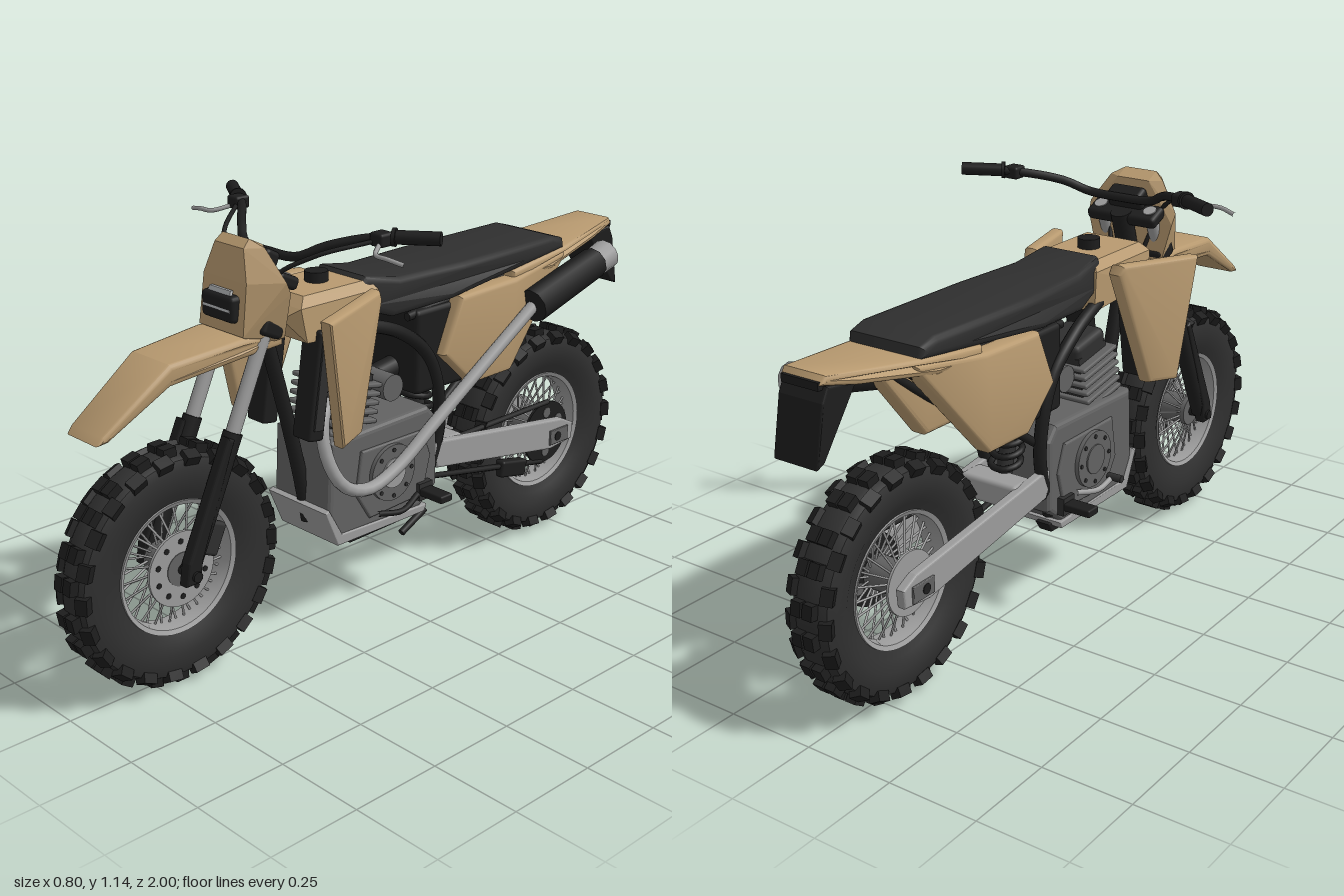
import * as THREE from 'three';
import { mergeGeometries, toCreasedNormals } from 'three/addons/utils/BufferGeometryUtils.js';
import { RoundedBoxGeometry } from 'three/addons/geometries/RoundedBoxGeometry.js';
import { ConvexGeometry } from 'three/addons/geometries/ConvexGeometry.js';

const mat = (name, color) => Object.assign(new THREE.MeshStandardMaterial({ color }), { name });
const V = (a) => new THREE.Vector3(...a);

// Side outline of [z, y] points, extruded across x around the given centre
function prism(pts, x, width, bevel = 0.01) {
  const shape = new THREE.Shape(pts.map(([z, y]) => new THREE.Vector2(-z, y)));
  const depth = width - 2 * bevel;
  return new THREE.ExtrudeGeometry(shape, {
    depth, bevelEnabled: bevel > 0, bevelSize: bevel, bevelThickness: bevel, bevelOffset: -bevel, bevelSegments: 3,
  }).translate(0, 0, -depth / 2).rotateY(Math.PI / 2).translate(x, 0, 0);
}
// Move every vertex by a rule, then rebuild the normals
function warp(geo, rule) {
  const p = geo.attributes.position, v = new THREE.Vector3();
  for (let i = 0; i < p.count; i++) {
    rule(v.fromBufferAttribute(p, i));
    p.setXYZ(i, v.x, v.y, v.z);
  }
  return toCreasedNormals(geo, 0.6);
}
function rod(a, b, r, r2 = r, sides = 16) {
  const d = V(b).sub(V(a));
  const geo = new THREE.CylinderGeometry(r2, r, d.length(), sides);
  geo.applyQuaternion(new THREE.Quaternion().setFromUnitVectors(V([0, 1, 0]), d.clone().normalize()));
  return geo.translate(...V(a).addScaledVector(d, 0.5).toArray());
}
const disc = (x, y, z, r, w, sides = 32) => rod([x - w / 2, y, z], [x + w / 2, y, z], r, r, sides);
const box = (w, h, d, x, y, z, tilt = 0) => new THREE.BoxGeometry(w, h, d).rotateX(tilt).translate(x, y, z);
const soft = (w, h, d, r, x, y, z, tilt = 0) => new RoundedBoxGeometry(w, h, d, 2, r).rotateX(tilt).translate(x, y, z);
const tube = (pts, r) => new THREE.TubeGeometry(new THREE.CatmullRomCurve3(pts.map(V)), 40, r, 10);
const lathe = (pts) => toCreasedNormals(
  new THREE.LatheGeometry(pts.map(([r, y]) => new THREE.Vector2(r, y)), 64).rotateZ(Math.PI / 2), 0.6);
const hull = (pts) => new ConvexGeometry(pts.flatMap(([x, y, z]) => [V([x, y, z]), V([-x, y, z])]));

export function createModel() {
  const model = new THREE.Group();
  model.name = 'dirtBike';
  const tan = mat('tan', 0xb89a70), black = mat('black', 0x1d1d1d), charcoal = mat('charcoal', 0x2f2f2f);
  const gray = mat('engineGray', 0x626262), silver = mat('silver', 0x9c9c9c), lens = mat('lens', 0xb4b6b8);
  const add = (name, geo, material, parent = model) => {
    const mesh = new THREE.Mesh(geo, material);
    mesh.name = name;
    parent.add(mesh);
    return mesh;
  };
  const sides = [1, -1];

  // Wheels: tyre, rim, knobs, spokes and hub
  function wheel(name, z, half) {
    const g = new THREE.Group();
    g.name = name;
    g.position.set(0, 0.323, z);
    model.add(g);
    add('tyre', lathe([[0.175, -0.035], [0.2, -0.046], [0.23, half * -0.95], [0.265, half * -0.95], [0.288, half * -0.82],
      [0.301, half * -0.4], [0.301, half * 0.4], [0.288, half * 0.82], [0.265, half * 0.95], [0.23, half * 0.95], [0.2, 0.046], [0.175, 0.035]]), charcoal, g);
    add('rim', lathe([[0.166, -0.036], [0.178, -0.042], [0.18, 0], [0.178, 0.042], [0.166, 0.036], [0.16, 0], [0.166, -0.036]]), silver, g);
    const knobs = [], spokes = [], n = 22;
    for (let i = 0; i < n; i++) {
      const a = (i / n) * Math.PI * 2, b = a + Math.PI / n;
      for (const s of sides) {
        knobs.push(box(0.03, 0.026, 0.038, s * 0.018, 0.306, 0).rotateX(i % 2 ? a : a + 0.03));
        knobs.push(new THREE.BoxGeometry(0.032, 0.026, 0.042).rotateZ(s * -0.5).translate(s * (half - 0.012), 0.29, 0).rotateX(b));
        const c = b + s * 0.07;
        spokes.push(rod([s * 0.035, 0.045 * Math.cos(a), 0.045 * Math.sin(a)], [0, 0.168 * Math.cos(c), 0.168 * Math.sin(c)], 0.0032, 0.0032, 5));
      }
    }
    add('treadKnobs', mergeGeometries(knobs), black, g);
    add('spokes', mergeGeometries(spokes), silver, g);
    add('hub', disc(0, 0, 0, 0.045, 0.1), gray, g);
    add('axle', disc(0, 0, 0, 0.014, 0.23, 12), black, g);
    return g;
  }
  const ring = (x, r, size, count, w) => mergeGeometries(Array.from({ length: count }, (_, i) => {
    const a = (i / count) * Math.PI * 2;
    return disc(x, r * Math.cos(a), r * Math.sin(a), size, w, 10);
  }));
  const front = wheel('frontWheel', 0.68, 0.057), rear = wheel('rearWheel', -0.682, 0.064);
  add('frontBrakeDisc', disc(0.044, 0, 0, 0.1, 0.008, 40), silver, front);
  add('discHoles', ring(0.044, 0.075, 0.008, 10, 0.011), black, front);
  add('sprocket', disc(0.062, 0, 0, 0.096, 0.008, 40), black, rear);
  add('sprocketHoles', ring(0.062, 0.062, 0.016, 6, 0.011), gray, rear);
  add('rearBrakeDisc', disc(-0.06, 0, 0, 0.085, 0.007, 40), silver, rear);

  // Front fork and steering clamps
  for (const s of sides) {
    const x = s * 0.08;
    add('forkTube', rod([x, 0.6, 0.556], [x, 1.03, 0.36], 0.019), silver);
    add('forkLower', rod([x, 0.33, 0.68], [x, 0.655, 0.531], 0.025), black);
    add('forkGuard', prism([[0.71, 0.3], [0.7, 0.36], [0.565, 0.655], [0.545, 0.645], [0.655, 0.36], [0.665, 0.3]], s * 0.09, 0.036, 0.008), black);
  }
  add('caliper', soft(0.03, 0.09, 0.05, 0.01, 0.07, 0.39, 0.6, -0.43), charcoal);
  add('lowerClamp', soft(0.22, 0.045, 0.07, 0.012, 0, 0.9, 0.415, -0.43), black);
  add('upperClamp', soft(0.22, 0.035, 0.07, 0.012, 0, 1.01, 0.365, -0.43), black);
  add('steeringHead', rod([0, 0.84, 0.4], [0, 1.02, 0.34], 0.03), black);
  add('instrument', soft(0.11, 0.06, 0.05, 0.012, 0, 1.05, 0.375, -0.5), black);

  // Handlebar with grips, levers and cables
  const half = [[0.1, 1.065, 0.33], [0.16, 1.095, 0.29], [0.25, 1.12, 0.215], [0.38, 1.128, 0.135]];
  add('handlebar', tube([...half.map(([x, y, z]) => [-x, y, z]).reverse(), [0, 1.06, 0.335], ...half], 0.012), black);
  for (const s of sides) {
    add('grip', rod([s * 0.295, 1.125, 0.19], [s * 0.392, 1.128, 0.13], 0.0175), black);
    add('gripFlange', rod([s * 0.29, 1.125, 0.193], [s * 0.298, 1.125, 0.188], 0.023), black);
    add('leverClamp', soft(0.045, 0.035, 0.045, 0.008, s * 0.27, 1.12, 0.21), black);
    add('lever', tube([[s * 0.275, 1.112, 0.22], [s * 0.31, 1.098, 0.268], [s * 0.35, 1.097, 0.272], [s * 0.398, 1.088, 0.26]], 0.006), silver);
    add('cable', tube([[s * 0.26, 1.115, 0.225], [s * 0.17, 1.08, 0.34], [s * 0.09, 1.02, 0.4], [s * 0.05, 0.9, 0.37]], 0.006), black);
  }

  // Headlight mask and front mudguard
  add('headlightMask', hull([[0.05, 1.12, 0.44], [0.085, 1.1, 0.42], [0.05, 1.1, 0.4], [0.14, 1.02, 0.4], [0.137, 0.99, 0.385],
    [0.105, 0.87, 0.38], [0.055, 1.1, 0.462], [0.082, 1.02, 0.478], [0.085, 0.89, 0.495], [0.075, 0.855, 0.43]]), tan);
  add('headlightHousing', soft(0.122, 0.068, 0.04, 0.012, 0, 0.953, 0.488), black);
  add('headlightLens', hull([[0.04, 0.998, 0.494], [0.052, 0.948, 0.51], [0.04, 0.998, 0.486], [0.052, 0.948, 0.502]]), lens);
  add('frontFender', warp(prism([[0.37, 0.885], [0.5, 0.888], [0.71, 0.87], [0.9, 0.735], [0.915, 0.715], [0.885, 0.718], [0.71, 0.815], [0.5, 0.838], [0.37, 0.845]], 0, 0.2, 0.014),
    (v) => { v.x *= 0.92 - Math.max(0, v.z - 0.5) * 0.65; }), tan);

  // Fuel tank, shrouds and radiators
  add('fuelTank', hull([[0.085, 0.955, 0.3], [0.085, 0.955, 0.08], [0.105, 0.93, 0.325], [0.105, 0.93, 0.06],
    [0.11, 0.84, 0.31], [0.1, 0.82, 0.06], [0.06, 0.9, 0.35]]), tan);
  add('fuelCap', rod([0, 0.94, 0.18], [0, 0.982, 0.18], 0.031), black);
  for (const s of sides) {
    add('shroud', warp(prism([[0.355, 0.93], [0.105, 0.945], [0.095, 0.92], [0.2, 0.595], [0.295, 0.585]], 0, 0.045, 0.012),
      (v) => { v.x += s * (0.138 + (v.z - 0.1) * 0.34); }), tan);
    add('radiator', soft(0.07, 0.29, 0.05, 0.008, s * 0.09, 0.72, 0.275, -0.15), black);
    add('radiatorSide', box(0.006, 0.23, 0.03, s * 0.127, 0.72, 0.275, -0.15), charcoal);
  }

  // Seat and tail
  add('seat', warp(prism([[0.12, 0.93], [0.09, 0.965], [-0.02, 0.945], [-0.25, 0.945], [-0.62, 0.95], [-0.67, 0.935], [-0.675, 0.905], [-0.5, 0.885], [-0.2, 0.85], [0, 0.84], [0.08, 0.87]], 0, 0.25, 0.018),
    (v) => { v.x *= 1 - Math.max(0, v.z + 0.15) * 1.05 - Math.max(0, -0.2 - v.z) * 0.15; }), charcoal);
  add('rearFender', warp(prism([[-0.45, 0.88], [-0.68, 0.91], [-0.94, 0.94], [-0.955, 0.92], [-0.85, 0.895], [-0.62, 0.855], [-0.45, 0.845]], 0, 0.24, 0.012),
    (v) => { v.x *= 1 - Math.max(0, -0.66 - v.z) * 1.65; }), tan);
  add('mudFlap', prism([[-0.845, 0.9], [-0.94, 0.915], [-0.958, 0.88], [-0.985, 0.73], [-0.96, 0.74]], 0, 0.135, 0.006), black);
  add('tailLight', box(0.11, 0.02, 0.02, 0, 0.917, -0.948), black);
  for (const s of sides) {
    add('sidePanel', warp(prism([[-0.23, 0.853], [-0.45, 0.862], [-0.69, 0.895], [-0.68, 0.87], [-0.44, 0.595], [-0.28, 0.592], [-0.165, 0.7]], 0, 0.06, 0.014),
      (v) => { v.x += s * (0.102 - Math.max(0, -0.45 - v.z) * 0.1); }), tan);
  }
  add('airBox', soft(0.2, 0.24, 0.2, 0.015, 0, 0.715, -0.19), black);

  // Frame and rear suspension
  add('downTube', tube([[0, 0.9, 0.37], [0, 0.65, 0.3], [0, 0.45, 0.25], [0, 0.3, 0.22]], 0.02), black);
  for (const s of sides) {
    add('frameTube', tube([[0, 0.9, 0.36], [s * 0.075, 0.85, 0.15], [s * 0.1, 0.79, -0.03], [s * 0.1, 0.69, -0.14], [s * 0.095, 0.5, -0.185], [s * 0.085, 0.3, -0.13]], 0.018), black);
    add('subframeRail', rod([s * 0.08, 0.82, -0.07], [s * 0.07, 0.875, -0.68], 0.012), black);
    add('subframeStrut', rod([s * 0.08, 0.52, -0.18], [s * 0.065, 0.86, -0.66], 0.012), black);
    add('swingArm', prism([[-0.14, 0.445], [-0.2, 0.44], [-0.71, 0.37], [-0.76, 0.345], [-0.755, 0.295], [-0.66, 0.285], [-0.17, 0.365]], s * 0.093, 0.028, 0.006), silver);
    add('axlePlate', prism([[-0.65, 0.345], [-0.73, 0.345], [-0.73, 0.3], [-0.65, 0.3]], s * 0.109, 0.008, 0.002), gray);
  }
  add('swingArmBridge', soft(0.18, 0.07, 0.08, 0.012, 0, 0.4, -0.25), silver);
  add('shockBody', rod([0, 0.4, -0.22], [0, 0.76, -0.14], 0.022), charcoal);
  for (let i = 0; i < 7; i++) {
    add('shockCoil', new THREE.TorusGeometry(0.04, 0.009, 8, 20).rotateX(Math.PI / 2 - 0.2).translate(0, 0.46 + i * 0.032, -0.207 + i * 0.007), black);
  }
  add('chainTop', rod([0.062, 0.41, -0.12], [0.062, 0.417, -0.69], 0.009, 0.009, 6), black);
  add('chainBottom', rod([0.062, 0.335, -0.12], [0.062, 0.23, -0.67], 0.009, 0.009, 6), black);
  add('chainGuide', soft(0.035, 0.05, 0.11, 0.008, 0.062, 0.25, -0.53, -0.2), black);

  // Engine: cases, covers, finned cylinder and carburettor
  add('crankcase', prism([[0.235, 0.55], [-0.13, 0.56], [-0.165, 0.52], [-0.165, 0.32], [-0.1, 0.27], [0.22, 0.27], [0.245, 0.33]], 0, 0.22, 0.015), gray);
  for (const s of sides) {
    add('engineCover', prism([[0.13, 0.5], [-0.1, 0.5], [-0.13, 0.42], [-0.1, 0.31], [0.1, 0.3], [0.15, 0.38]], s * 0.107, 0.022, 0.006), gray);
    add('clutchCover', disc(s * 0.118, 0.415, 0.025, 0.08, 0.024, 40), gray);
    add('clutchCap', disc(s * 0.127, 0.415, 0.025, 0.042, 0.014), s > 0 ? silver : gray);
    add('coverBolts', ring(s * 0.121, 0.066, 0.006, 8, 0.024).translate(0, 0.415, 0.025), charcoal);
    add('footPeg', soft(0.09, 0.022, 0.045, 0.005, s * 0.165, 0.325, -0.1), black);
    add('pegBracket', box(0.04, 0.05, 0.05, s * 0.11, 0.325, -0.1), charcoal);
  }
  add('caseWindow', box(0.006, 0.025, 0.035, 0.111, 0.33, -0.09), black);
  add('cylinderCore', box(0.13, 0.19, 0.13, 0, 0.6, 0.12, -0.18), charcoal);
  for (let i = 0; i < 6; i++) {
    add('coolingFin', soft(0.18, 0.013, 0.165, 0.005, 0, 0.55 + i * 0.024, 0.135 - i * 0.005, -0.18), gray);
  }
  add('valveCover', soft(0.13, 0.06, 0.14, 0.02, 0, 0.702, 0.105, -0.18), charcoal);
  add('carburettor', disc(0.02, 0.64, -0.005, 0.037, 0.15), gray);
  add('intake', rod([0, 0.63, 0.07], [0, 0.66, -0.12], 0.032), black);

  // Skid plate and foot controls
  add('skidPlate', prism([[0.26, 0.36], [0.245, 0.365], [0.2, 0.285], [-0.12, 0.275], [-0.11, 0.255], [0.215, 0.255]], 0, 0.23, 0.004), silver);
  for (const x of [-0.06, 0.06]) {
    add('skidRail', prism([[0.18, 0.258], [-0.13, 0.265], [-0.11, 0.235], [0.14, 0.228]], x, 0.045, 0.005), black);
  }
  add('sideStand', rod([0.095, 0.25, -0.13], [0.095, 0.205, -0.04], 0.01), black);
  add('shiftLever', tube([[-0.12, 0.34, -0.05], [-0.145, 0.33, 0.02], [-0.15, 0.345, 0.08]], 0.008), silver);
  add('shiftToe', disc(-0.16, 0.347, 0.08, 0.011, 0.045, 10), charcoal);
  add('brakePedal', tube([[0.12, 0.32, -0.08], [0.14, 0.3, 0], [0.135, 0.315, 0.09]], 0.008), black);

  // Exhaust
  add('exhaustPipe', tube([[0.05, 0.64, 0.18], [0.08, 0.61, 0.235], [0.11, 0.52, 0.25], [0.135, 0.435, 0.215], [0.145, 0.405, 0.14],
    [0.145, 0.435, 0.03], [0.145, 0.53, -0.12], [0.145, 0.65, -0.31], [0.145, 0.775, -0.51]], 0.018), silver);
  add('muffler', rod([0.148, 0.775, -0.5], [0.135, 0.845, -0.785], 0.05, 0.046, 10), black);
  add('mufflerTip', rod([0.135, 0.84, -0.775], [0.13, 0.858, -0.845], 0.042, 0.045, 12), silver);
  add('mufflerOutlet', rod([0.13, 0.856, -0.84], [0.13, 0.859, -0.849], 0.025), black);
  return model;
}
